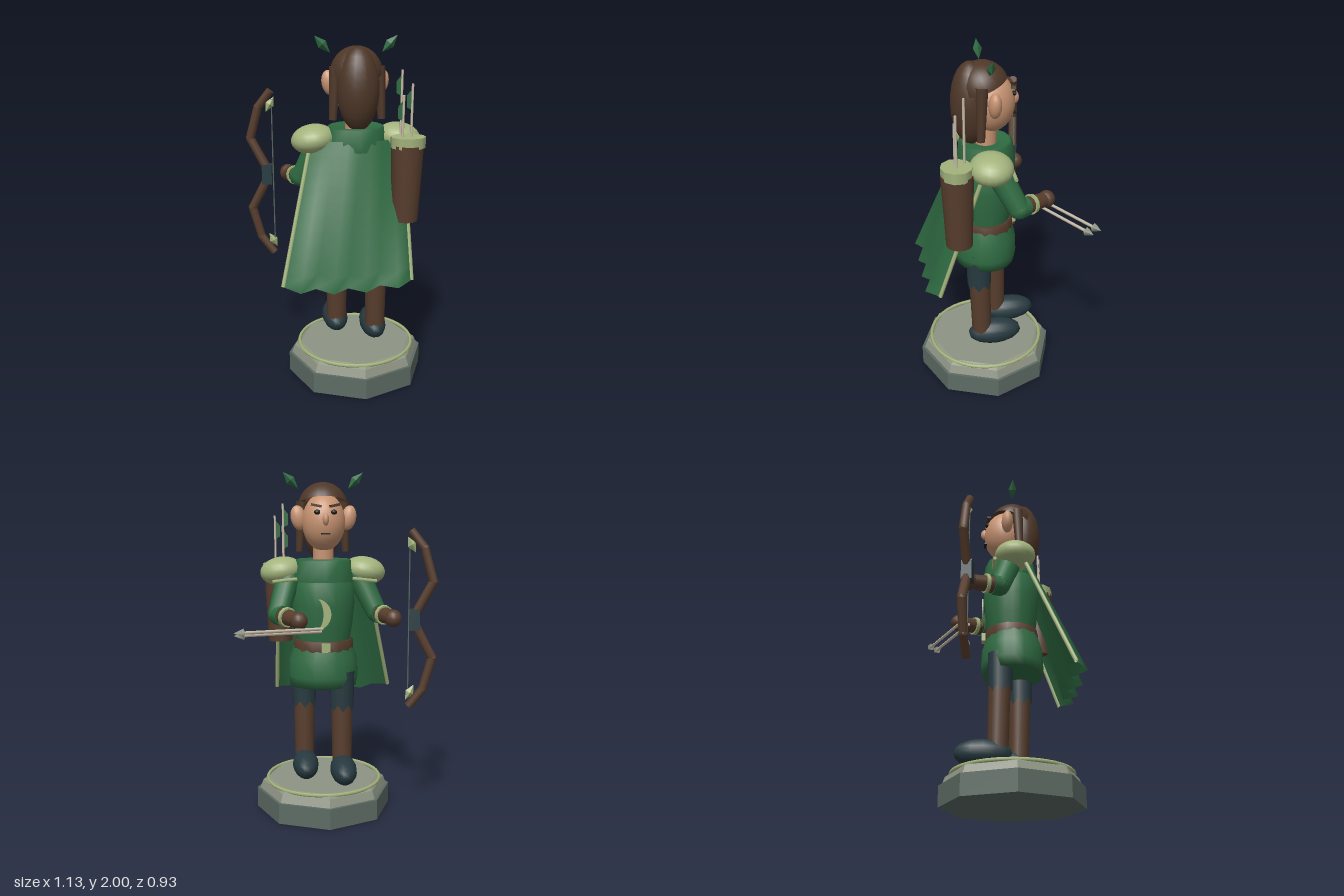
import * as THREE from 'three';

const mat = (name, color, double = false) => {
  const m = new THREE.MeshStandardMaterial({ color });
  m.name = name;
  if (double) m.side = THREE.DoubleSide;
  return m;
};

export function createModel() {
  const model = new THREE.Group();
  model.name = 'archerStatue';
  const green = mat('clothGreen', 0x2f6b42, true);
  const sage = mat('trimSage', 0xa3b37c, true);
  const brown = mat('leatherBrown', 0x573d2d);
  const hairMat = mat('hairBrown', 0x4e3728, true);
  const skin = mat('skin', 0xc89472);
  const teal = mat('darkTeal', 0x273a40, true);
  const stone = mat('darkStone', 0x5d6b64);
  const pale = mat('paleStone', 0x8e9484);
  const shaft = mat('arrowWood', 0xcabfa9);
  const black = mat('eyeBlack', 0x1d1b1c);

  const V = (x, y, z) => new THREE.Vector3(x, y, z);
  const add = (name, geo, m, x = 0, y = 0, z = 0, parent = model) => {
    const mesh = new THREE.Mesh(geo, m);
    mesh.name = name;
    mesh.position.set(x, y, z);
    parent.add(mesh);
    return mesh;
  };
  const ball = (name, m, p, r, w = 20, h = 14) => {
    const s = add(name, new THREE.SphereGeometry(1, w, h), m, ...p);
    s.scale.set(...r);
    return s;
  };
  const box = (name, m, p, s) => add(name, new THREE.BoxGeometry(...s), m, ...p);
  // tapered rod from a to b
  const rod = (name, m, a, b, ra, rb = ra, sides = 10) => {
    const A = V(...a), B = V(...b), d = B.clone().sub(A);
    const mesh = add(name, new THREE.CylinderGeometry(rb, ra, d.length(), sides), m);
    mesh.position.copy(A).addScaledVector(d, 0.5);
    mesh.quaternion.setFromUnitVectors(V(0, 1, 0), d.normalize());
    return mesh;
  };
  const lathe = (name, m, pts, x, z, sx, sz, n = 20) => {
    const g = new THREE.LatheGeometry(pts.map(p => new THREE.Vector2(...p)), n);
    const mesh = add(name, g, m, x, 0, z);
    mesh.scale.set(sx, 1, sz);
    return mesh;
  };
  const CX = 0.05;

  // Octagonal plinth
  const tier = (name, m, rt, rb, y0, y1) =>
    add(name, new THREE.CylinderGeometry(rt, rb, y1 - y0, 8).toNonIndexed(), m, CX, (y0 + y1) / 2, 0.057)
      .geometry.computeVertexNormals();
  tier('plinthBase', stone, 0.405, 0.405, 0, 0.12);
  tier('plinthStep', pale, 0.37, 0.388, 0.12, 0.168);
  tier('plinthTop', pale, 0.335, 0.37, 0.168, 0.185);
  const ring = add('plinthRing', new THREE.TorusGeometry(0.34, 0.011, 6, 40), sage, CX, 0.181, 0.057);
  ring.rotation.x = Math.PI / 2;

  // Legs, torn trousers and boots
  for (const [x, z] of [[-0.053, -0.025], [0.163, 0.105]]) {
    rod('leg', brown, [x, 0.28, z - 0.005], [x, 0.68, z + 0.005], 0.058, 0.064, 14);
    const g = new THREE.CylinderGeometry(0.075, 0.071, 0.24, 14, 1, true);
    const p = g.attributes.position;
    for (let i = 0; i < p.count; i++)
      if (p.getY(i) < 0 && i % 2) p.setY(i, p.getY(i) + 0.04);
    add('trouser', g, teal, x, 0.735, z + 0.008);
    ball('boot', teal, [x, 0.272, z - 0.085], [0.078, 0.08, 0.162], 14, 10);
  }

  // Tunic, belt and torso
  lathe('skirt', green, [[0.001, 0.765], [0.19, 0.76], [0.2, 0.82], [0.195, 0.92], [0.16, 1.02]], CX, 0.06, 1.04, 0.92);
  lathe('torso', green, [[0.148, 1.0], [0.168, 1.12], [0.18, 1.24], [0.178, 1.36], [0.13, 1.45], [0.05, 1.49]], CX, 0.055, 1.03, 0.92);
  lathe('belt', brown, [[0.172, 0.975], [0.174, 1.035], [0.155, 1.037]], CX, 0.055, 1.03, 0.92, 14);
  box('buckle', sage, [CX, 1.005, -0.11], [0.05, 0.05, 0.025]);
  const moon = new THREE.Shape();
  moon.moveTo(0.03, 0.09);
  moon.bezierCurveTo(-0.07, 0.07, -0.07, -0.07, 0.03, -0.09);
  moon.bezierCurveTo(-0.01, -0.05, -0.01, 0.05, 0.03, 0.09);
  add('chestCrescent', new THREE.ExtrudeGeometry(moon, { depth: 0.009, bevelEnabled: false }), sage, CX + 0.015, 1.2, -0.122);

  // Mantle collar
  lathe('collar', green, [[0.06, 1.49], [0.15, 1.51], [0.168, 1.5], [0.19, 1.38], [0.165, 1.385]], CX, 0.05, 1, 0.9, 12);

  // Cape with pleats that open towards the hem
  const capePoint = (u, v, fold) => V(
    THREE.MathUtils.lerp(CX + 0.26 * u, -0.04 + 0.36 * u, v),
    THREE.MathUtils.lerp(1.44, 0.65 + 0.03 * u * u, v),
    THREE.MathUtils.lerp(0.2 - 0.1 * u * u, 0.4, v) + 0.042 * v * fold);
  const cols = 8, rows = 10, cape = new THREE.PlaneGeometry(1, 1, cols, rows);
  for (let r = 0, k = 0; r <= rows; r++)
    for (let c = 0; c <= cols; c++, k++)
      cape.attributes.position.setXYZ(k, ...capePoint(c / 4 - 1, r / rows, c % 2 ? 1 : -0.8).toArray());
  cape.computeVertexNormals();
  add('cape', cape, green);
  for (const u of [-1, 1]) {
    const path = new THREE.CatmullRomCurve3([0, 0.25, 0.5, 0.75, 1].map(v => capePoint(u, v, -0.8)));
    add('capeTrim', new THREE.TubeGeometry(path, 12, 0.012, 6), sage);
  }

  // Shoulder guards, sleeves, forearms, cuffs and hands
  const arms = [
    { s: -1, elbow: [-0.255, 1.2, -0.03], hand: [-0.322, 1.185, -0.205] },
    { s: 1, elbow: [0.32, 1.2, -0.08], hand: [0.213, 1.185, -0.265] },
  ];
  for (const { s, elbow, hand } of arms) {
    const at = t => elbow.map((e, i) => e + (hand[i] - e) * t);
    ball('shoulderGuard', sage, [CX + s * 0.245, 1.44, 0.065], [0.125, 0.082, 0.12]).rotation.z = -s * 0.15;
    rod('guardTrim', sage, [CX + s * 0.16, 1.4, -0.06], [CX + s * 0.3, 1.385, -0.058], 0.011, 0.011, 6);
    rod('sleeve', green, [CX + s * 0.2, 1.43, 0.04], elbow, 0.072, 0.06, 12);
    ball('elbow', green, elbow, [0.06, 0.06, 0.06], 12, 8);
    rod('sleeveEnd', green, elbow, at(0.25), 0.06, 0.058, 10);
    rod('forearm', brown, at(0.1), hand, 0.052, 0.04, 12);
    rod('cuff', sage, at(0.4), at(0.5), 0.058, 0.056, 12);
    ball('hand', brown, hand, [0.048, 0.05, 0.048], 14, 10);
  }

  // Bow: straight segments mirrored about the grip
  const BY = 1.177, bow = [[-0.45, 0.04], [-0.54, 0.215], [-0.49, 0.4], [-0.415, 0.5]];
  const bz = x => -0.21 + (x + 0.41) * 0.25;
  for (const s of [-1, 1]) {
    const pts = bow.map(([x, y]) => [x, BY + s * y, bz(x)]);
    for (let i = 0; i < 3; i++) {
      rod('bowLimb', brown, pts[i], pts[i + 1], 0.027 - i * 0.001, 0.026 - i * 0.001, 8);
      if (i) ball('bowJoint', brown, pts[i], [0.026, 0.026, 0.026], 8, 6);
    }
    const leaf = add('bowLeaf', new THREE.OctahedronGeometry(1), sage, -0.42, BY + s * 0.42, bz(-0.42));
    leaf.scale.set(0.026, 0.05, 0.02);
    leaf.rotation.z = -s * 0.5;
  }
  box('bowGrip', teal, [-0.443, BY, -0.215], [0.06, 0.12, 0.06]).rotation.y = -0.25;
  rod('bowString', stone, [-0.41, BY - 0.45, -0.21], [-0.41, BY + 0.45, -0.21], 0.004, 0.004, 5);

  // Quiver with spare arrows
  rod('quiver', brown, [0.298, 1.0, 0.245], [0.305, 1.43, 0.25], 0.074, 0.09, 14);
  const rim = add('quiverRim', new THREE.CylinderGeometry(0.098, 0.096, 0.06, 10), sage, 0.307, 1.445, 0.253);
  rim.scale.z = 0.88;
  for (const [x, z, top] of [[0.273, 0.205, 1.83], [0.273, 0.256, 1.7], [0.32, 0.256, 1.76]]) {
    rod('spareArrow', shaft, [x, 1.3, z], [x + 0.005, top, z], 0.007, 0.007, 6);
    const f = new THREE.Shape([[0, -0.05], [-0.026, -0.035], [-0.026, 0.03], [0, 0.06]].map(q => new THREE.Vector2(...q)));
    add('fletching', new THREE.ShapeGeometry(f), green, x, top - 0.09, z);
  }

  // Arrows held in the hand
  for (const [a, b] of [
    [[0.08, 1.135, -0.235], [0.515, 1.15, -0.444]],
    [[0.085, 1.115, -0.2], [0.515, 1.13, -0.404]],
  ]) {
    rod('heldArrow', shaft, a, b, 0.009, 0.009, 6);
    rod('arrowHead', pale, b, [b[0] + 0.047, b[1] + 0.002, b[2] - 0.022], 0.025, 0.001, 5);
  }

  // Neck, head, ears and nose
  rod('neck', skin, [CX, 1.45, 0.05], [CX, 1.63, 0.045], 0.062, 0.06, 14);
  ball('head', skin, [CX, 1.72, 0.02], [0.125, 0.165, 0.132], 24, 18);
  ball('nose', skin, [CX, 1.735, -0.112], [0.018, 0.035, 0.024], 10, 8);
  for (const s of [-1, 1]) {
    ball('ear', skin, [CX + s * 0.145, 1.745, 0.025], [0.045, 0.072, 0.036], 14, 10).rotation.z = -s * 0.2;
    ball('eye', black, [CX + s * 0.047, 1.775, -0.098], [0.018, 0.014, 0.012], 10, 8);
    const brow = box('brow', hairMat, [CX + s * 0.052, 1.812, -0.092], [0.058, 0.014, 0.024]);
    brow.rotation.set(0, -s * 0.2, s * 0.2);
  }
  box('mouth', black, [CX, 1.655, -0.104], [0.05, 0.008, 0.02]);

  // Hair: crown cap, long back fall and side locks
  const cap = add('hairCrown', new THREE.SphereGeometry(1, 24, 12, 0, Math.PI * 2, 0, 1.45), hairMat, CX, 1.8, 0.06);
  cap.scale.set(0.146, 0.15, 0.142);
  cap.rotation.x = 0.35;
  ball('hairBack', hairMat, [CX, 1.72, 0.13], [0.118, 0.23, 0.11]);
  for (const s of [-1, 1]) {
    rod('sideLock', hairMat, [CX + s * 0.137, 1.55, 0.1], [CX + s * 0.122, 1.84, 0.09], 0.022, 0.034, 10);
    // Leaf ornaments beside the crown
    const leaf = add('hairLeaf', new THREE.OctahedronGeometry(1), green, CX + s * 0.188, 1.957, 0.055);
    leaf.scale.set(0.028, 0.063, 0.025);
    leaf.rotation.z = -s * 0.75;
  }
  return model;
}
